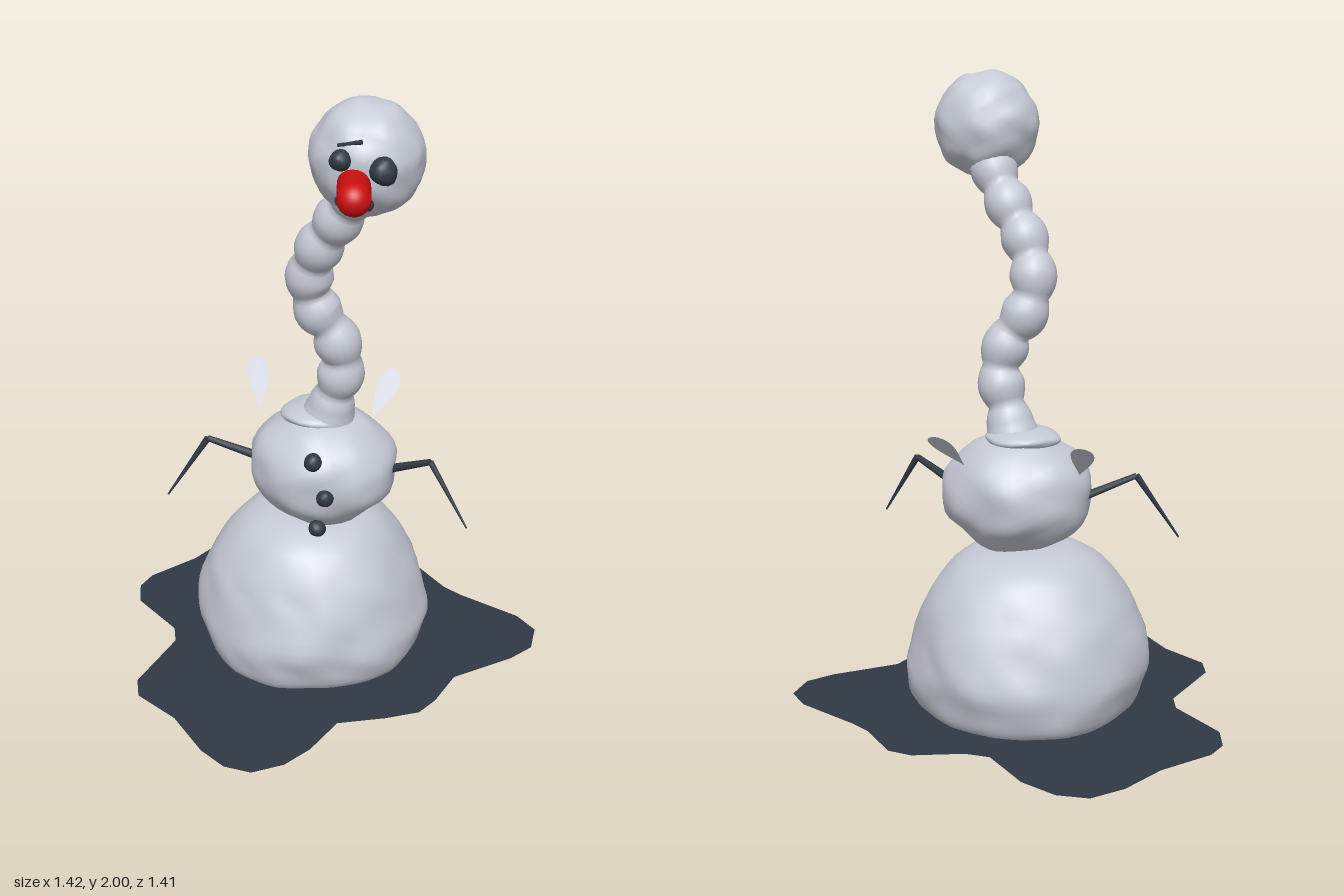
import * as THREE from 'three';
import { mergeVertices } from 'three/addons/utils/BufferGeometryUtils.js';

const material = (name, color, side = THREE.FrontSide) => {
  const m = new THREE.MeshStandardMaterial({ color, side });
  m.name = name;
  return m;
};
const V = (x, y, z) => new THREE.Vector3(x, y, z);

// Smooth repeatable bumps, roughly -1..1
function bumps(x, y, z, f, s) {
  return 0.5 * Math.sin(x * f + s + 1.7 * Math.sin(y * f * 0.8 + s))
    + 0.3 * Math.sin(y * f * 1.3 + 2 * s + 1.4 * Math.sin(z * f + s))
    + 0.3 * Math.sin(z * f * 1.2 - s + 1.5 * Math.sin(x * f * 1.1));
}

// Weld seams so that shading is smooth
function weld(geo) {
  geo.deleteAttribute('uv');
  geo.deleteAttribute('normal');
  const g = mergeVertices(geo, 1e-4);
  g.computeVertexNormals();
  return g;
}

// Bumpy ball with separate radii
function lump(rx, ry, rz, amount, freq, seed, detail = 8) {
  const g = new THREE.IcosahedronGeometry(1, detail);
  const p = g.attributes.position;
  for (let i = 0; i < p.count; i++) {
    const x = p.getX(i), y = p.getY(i), z = p.getZ(i);
    const k = 1 + amount * bumps(x, y, z, freq, seed);
    p.setXYZ(i, x * rx * k, y * ry * k, z * rz * k);
  }
  return weld(g);
}

export function createModel() {
  const group = new THREE.Group();
  const snow = material('snow', 0xc6cad5);
  const snowSheet = snow.clone();
  snowSheet.side = THREE.DoubleSide;
  const coal = material('coal', 0x303945, THREE.DoubleSide);
  const red = material('red', 0xd01010);

  const add = (name, geo, mat, x = 0, y = 0, z = 0) => {
    const m = new THREE.Mesh(geo, mat);
    m.name = name;
    m.position.set(x, y, z);
    group.add(m);
    return m;
  };
  // Tapered stick between two points
  const stick = (name, a, b, ra, rb) => {
    const d = b.clone().sub(a);
    const mid = a.clone().add(b).multiplyScalar(0.5);
    const m = add(name, new THREE.CylinderGeometry(rb, ra, d.length(), 6), coal, mid.x, mid.y, mid.z);
    m.quaternion.setFromUnitVectors(V(0, 1, 0), d.normalize());
  };

  // Flat splash on the ground, outline as x, z
  const outline = [
    [-0.32, -0.71], [-0.2, -0.66], [-0.06, -0.53], [0.02, -0.53], [0.17, -0.59], [0.25, -0.58],
    [0.36, -0.47], [0.43, -0.43], [0.64, -0.34], [0.71, -0.27], [0.71, -0.16], [0.65, -0.08],
    [0.48, 0.07], [0.44, 0.21], [0.4, 0.285], [0.3, 0.34], [0.155, 0.4], [0.1, 0.55], [0.04, 0.64],
    [-0.05, 0.7], [-0.14, 0.69], [-0.23, 0.63], [-0.36, 0.49], [-0.51, 0.4], [-0.54, 0.32],
    [-0.485, 0.07], [-0.51, 0], [-0.68, -0.14], [-0.71, -0.235], [-0.69, -0.31], [-0.57, -0.46],
    [-0.5, -0.61], [-0.42, -0.7]
  ].map(([x, z]) => new THREE.Vector2(x, -z));
  add('puddle', new THREE.ShapeGeometry(new THREE.Shape(outline)).rotateX(-Math.PI / 2), coal);

  // Mound with a flat bottom
  const profile = new THREE.SplineCurve([
    [0.29, 0.003], [0.345, 0.015], [0.38, 0.09], [0.388, 0.17], [0.35, 0.29], [0.31, 0.38],
    [0.25, 0.47], [0.17, 0.515], [0.08, 0.53], [0, 0.535]
  ].map(([r, y]) => new THREE.Vector2(r, y))).getPoints(32);
  profile[profile.length - 1].x = 0;
  const mound = new THREE.LatheGeometry([new THREE.Vector2(0, 0.003), ...profile], 56);
  const mp = mound.attributes.position;
  for (let i = 0; i < mp.count; i++) {
    const x = mp.getX(i), y = mp.getY(i), z = mp.getZ(i);
    const k = 1 + 0.035 * bumps(x, y, z, 13, 1.3) + 0.012 * bumps(x, y, z, 34, 4);
    mp.setXYZ(i, x * k, y, z * k);
  }
  add('mound', weld(mound), snow, -0.035, 0, -0.075);

  // Body, neck collar and head
  add('body', lump(0.24, 0.195, 0.22, 0.04, 6.5, 2.1), snow, 0.008, 0.695, -0.05);
  add('collar', lump(0.12, 0.035, 0.11, 0.07, 4, 0.6, 5), snow, -0.01, 0.872, -0.055);
  add('head', lump(0.168, 0.172, 0.155, 0.035, 8, 3.4), snow, 0.188, 1.825, 0.19);

  // Winding neck, swelling into a row of beads
  const path = new THREE.CatmullRomCurve3([
    V(0.02, 0.85, -0.045), V(0.045, 0.95, -0.035), V(0.075, 1.07, -0.02), V(0.05, 1.18, -0.005),
    V(0, 1.26, 0.005), V(-0.022, 1.36, 0.02), V(0.015, 1.48, 0.055), V(0.07, 1.57, 0.08),
    V(0.12, 1.65, 0.11), V(0.17, 1.74, 0.15)
  ]);
  const rings = 72, sides = 18;
  const neck = new THREE.TubeGeometry(path, rings, 1, sides);
  const np = neck.attributes.position, v = V(0, 0, 0);
  for (let i = 0; i < np.count; i++) {
    const t = Math.floor(i / (sides + 1)) / rings;
    const c = path.getPointAt(t);
    const r = 0.057 + 0.019 * Math.abs(Math.sin(Math.PI * 8 * t)) + 0.03 * Math.max(0, 0.06 - t) / 0.06;
    v.fromBufferAttribute(np, i).sub(c).multiplyScalar(r).add(c);
    np.setXYZ(i, v.x, v.y, v.z);
  }
  add('neck', weld(neck), snow);

  // Eyes, buttons and mouth pebbles: name, x, y, z, radius
  [
    ['rightEye', 0.142, 1.86, 0.345, 0.031], ['leftEye', 0.265, 1.84, 0.35, 0.041],
    ['topButton', 0.02, 0.8, 0.155, 0.029], ['middleButton', 0.06, 0.68, 0.163, 0.028],
    ['bottomButton', 0.028, 0.548, 0.13, 0.028],
    ['mouthPebble', 0.14, 1.735, 0.318, 0.018], ['mouthPebble', 0.165, 1.722, 0.318, 0.019],
    ['mouthPebble', 0.19, 1.72, 0.318, 0.018], ['mouthPebble', 0.217, 1.728, 0.318, 0.018]
  ].forEach(([name, x, y, z, r], i) =>
    add(name, lump(r, r, r, 0.09, 3, i, 2), coal, x, y, z));

  // Eyebrow
  stick('eyebrow', V(0.13, 1.897, 0.325), V(0.2, 1.91, 0.322), 0.005, 0.007);

  // Nose
  const a = V(0.17, 1.785, 0.29), b = V(0.21, 1.8, 0.482);
  const dir = b.clone().sub(a);
  const nose = add('nose', new THREE.CapsuleGeometry(0.048, dir.length(), 8, 20), red,
    (a.x + b.x) / 2, (a.y + b.y) / 2, (a.z + b.z) / 2);
  nose.quaternion.setFromUnitVectors(V(0, 1, 0), dir.normalize());

  // Bent twig arms and teardrop wings on both sides
  const drop = new THREE.Shape();
  drop.moveTo(0, 0);
  drop.bezierCurveTo(0.012, 0.05, 0.036, 0.09, 0.036, 0.145);
  drop.bezierCurveTo(0.036, 0.21, -0.036, 0.21, -0.036, 0.145);
  drop.bezierCurveTo(-0.036, 0.09, -0.012, 0.05, 0, 0);
  const dropGeo = new THREE.ShapeGeometry(drop, 10);
  for (const s of [1, -1]) {
    const side = s > 0 ? 'left' : 'right';
    const elbow = V(s * 0.368, 0.762, 0);
    stick(side + 'UpperArm', V(s * 0.21, 0.692, -0.045), elbow, 0.015, 0.01);
    stick(side + 'Forearm', elbow, V(s * 0.497, 0.56, 0.043), 0.011, 0.003);
    const wing = add(side + 'Wing', dropGeo, snowSheet, -0.047 + s * 0.187, 0.8, -0.18);
    wing.rotation.set(-0.86, 0, -s * 0.27);
  }
  return group;
}
